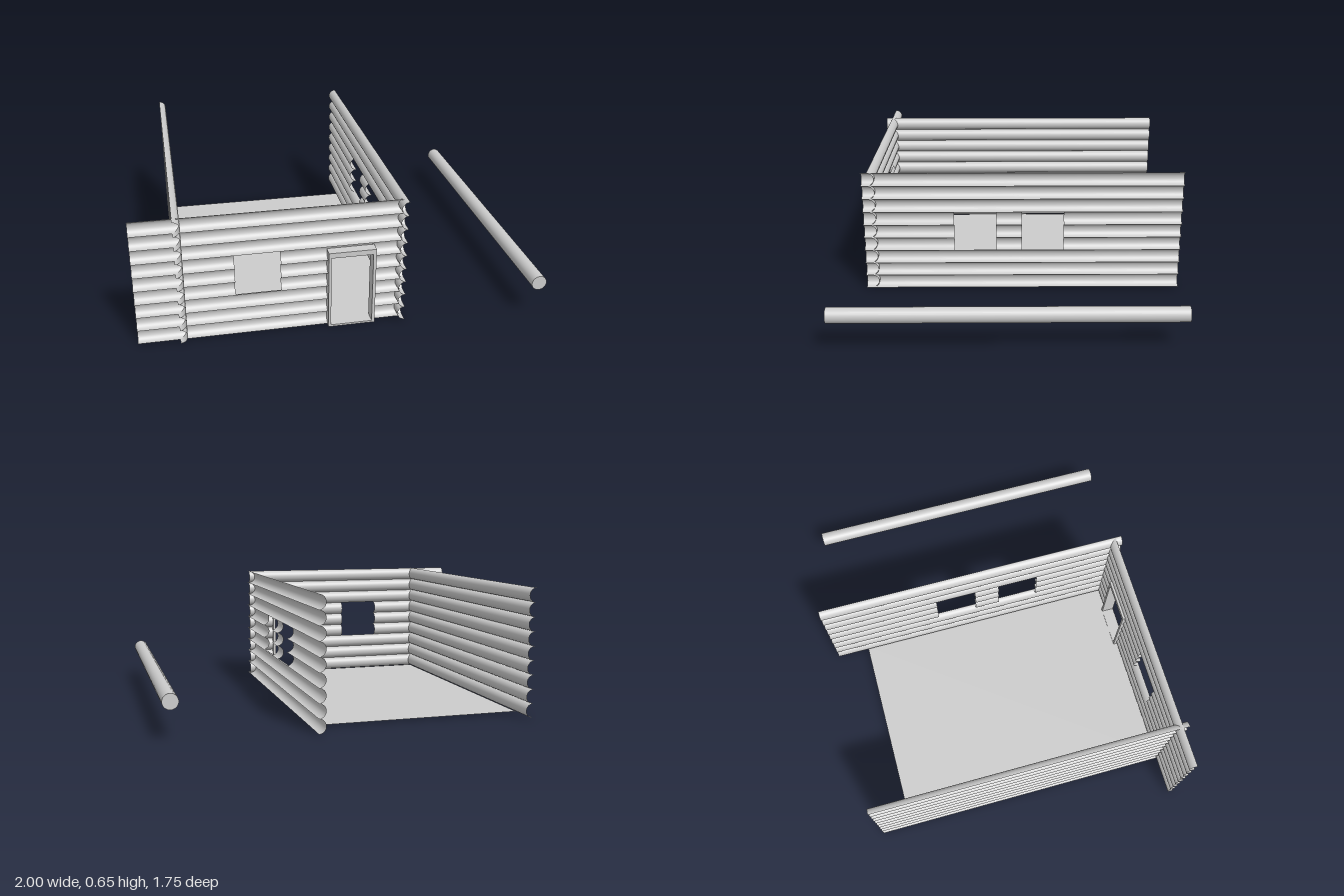
import * as THREE from 'three';

const ROWS = 9, PITCH = 0.0715, BASE = 0.008, R = PITCH / 2;

const material = new THREE.MeshStandardMaterial({ color: 0xcccccc, side: THREE.DoubleSide });

function add(parent, name, geometry) {
  const mesh = new THREE.Mesh(geometry, material);
  mesh.name = name;
  parent.add(mesh);
  return mesh;
}

// Piece of a half-round log along x, bulging to -z, cut to the heights y0..y1 of its row
function logPiece(parent, u0, u1, row, y0, y1) {
  const yc = BASE + (row + 0.5) * PITCH;
  const angle = (y) => Math.asin(THREE.MathUtils.clamp((y - yc) / R, -1, 1));
  const a1 = angle(y1), a0 = angle(y0);
  if (a1 - a0 < 0.01) return;
  const g = new THREE.CylinderGeometry(R, R, u1 - u0, 20, 1, true, Math.PI - a1, a1 - a0);
  g.rotateZ(Math.PI / 2).translate((u0 + u1) / 2, yc, 0);
  add(parent, 'wallLog', g);
}

// Wall of stacked half-round logs with rectangular openings [u0, u1, y0, y1]
function logWall(name, u0, u1, openings = []) {
  const wall = new THREE.Group();
  wall.name = name;
  for (let row = 0; row < ROWS; row++) {
    const bottom = BASE + row * PITCH, top = bottom + PITCH;
    const hits = openings.filter((o) => o[2] < top - 0.003 && o[3] > bottom + 0.003);
    const cuts = [u0, ...hits.flatMap((o) => [o[0], o[1]]), u1].sort((a, b) => a - b);
    for (let i = 0; i < cuts.length - 1; i++) {
      const mid = (cuts[i] + cuts[i + 1]) / 2;
      const hole = hits.find((o) => mid > o[0] && mid < o[1]);
      if (!hole) {
        logPiece(wall, cuts[i], cuts[i + 1], row, bottom, top);
      } else {
        logPiece(wall, cuts[i], cuts[i + 1], row, bottom, Math.max(bottom, hole[2]));
        logPiece(wall, cuts[i], cuts[i + 1], row, Math.min(top, hole[3]), top);
      }
    }
  }
  return wall;
}

function rectangle(PathType, x0, x1, y0, y1) {
  const p = new PathType();
  p.moveTo(x0, y0).lineTo(x1, y0).lineTo(x1, y1).lineTo(x0, y1).closePath();
  return p;
}

export function createModel() {
  const model = new THREE.Group();
  model.name = 'logCabin';
  const row = (n) => BASE + n * PITCH;

  // Front wall with window and doorway, running on past the side wall
  const front = logWall('frontWall', -1, 0.3, [
    [-0.525, -0.305, row(3), row(6)],
    [-0.072, 0.145, 0, 0.4],
  ]);
  front.position.z = 0.762;

  // Side wall with two windows (u runs along -z)
  const windowed = logWall('windowedSideWall', -0.795, 0.875, [
    [-0.32, -0.1, row(3), row(6)],
    [0.035, 0.255, row(3), row(6)],
  ]);
  windowed.rotation.y = Math.PI / 2;
  windowed.position.x = 0.302;

  // Plain side wall (u runs along z)
  const plain = logWall('plainSideWall', -0.855, 0.795);
  plain.rotation.y = -Math.PI / 2;
  plain.position.x = -0.8;
  model.add(front, windowed, plain);

  // Floor sheet
  const floor = new THREE.PlaneGeometry(1.08, 1.455);
  floor.rotateX(-Math.PI / 2).translate(-0.25, 0.007, 0.0275);
  add(model, 'floor', floor);

  // Door frame
  const frame = rectangle(THREE.Shape, -0.08, 0.153, 0, 0.41);
  frame.holes.push(rectangle(THREE.Path, -0.067, 0.138, 0.01, 0.383));
  const frameGeometry = new THREE.ExtrudeGeometry(frame, { depth: 0.066, bevelEnabled: false });
  add(model, 'doorFrame', frameGeometry).position.z = 0.714;

  // Loose round log beside the cabin
  const log = new THREE.CylinderGeometry(0.0378, 0.0378, 1.675, 32);
  log.rotateX(Math.PI / 2).translate(0.9622, 0.186, 0.0375);
  add(model, 'looseLog', log);

  return model;
}
